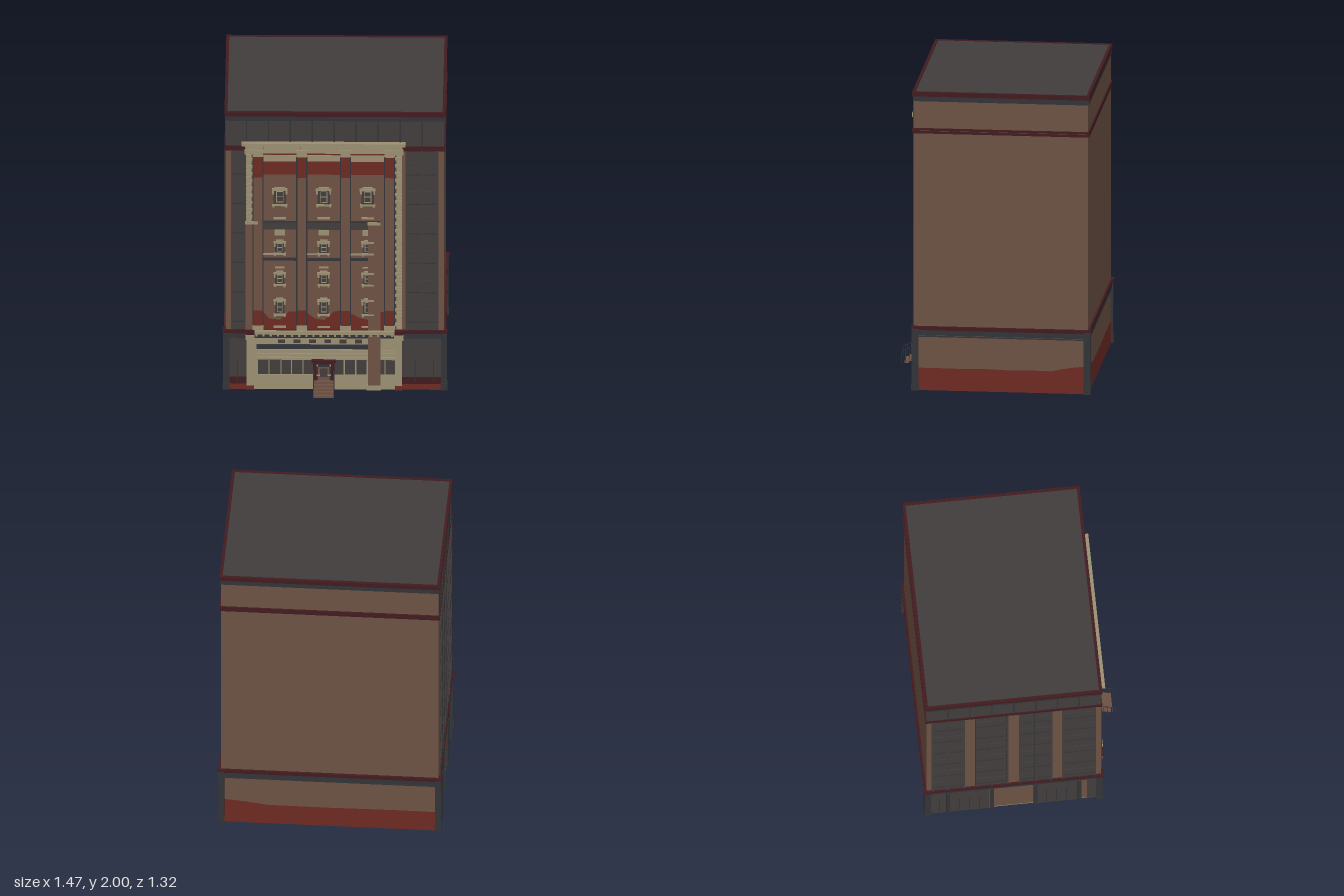
import * as THREE from 'three';

const mat = (name, color) => {
  const m = new THREE.MeshStandardMaterial({ color });
  m.name = name;
  return m;
};

export function createModel() {
  const brick = mat('brown brick', 0x6d5143);
  const red = mat('red brick', 0x6c2a22);
  const cream = mat('cream stone', 0x9a9072);
  const charcoal = mat('charcoal panel', 0x423d3d);
  const slate = mat('slate trim', 0x323437);
  const maroon = mat('maroon trim', 0x421b20);
  const root = new THREE.Group();
  root.name = 'building';

  const group = (name, parent = root) => {
    const g = new THREE.Group();
    g.name = name;
    parent.add(g);
    return g;
  };
  // box from its limits on each axis
  const box = (parent, name, m, x0, x1, y0, y1, z0, z1) => {
    const mesh = new THREE.Mesh(new THREE.BoxGeometry(x1 - x0, y1 - y0, z1 - z0), m);
    mesh.position.set((x0 + x1) / 2, (y0 + y1) / 2, (z0 + z1) / 2);
    mesh.name = name;
    parent.add(mesh);
    return mesh;
  };
  // flat painted area: straight bottom at y0, ragged top through points
  const wash = (parent, name, m, y0, top, z) => {
    const s = new THREE.Shape();
    s.moveTo(top[0][0], y0);
    s.lineTo(top[top.length - 1][0], y0);
    [...top].reverse().forEach(([x, y]) => s.lineTo(x, y));
    const mesh = new THREE.Mesh(new THREE.ShapeGeometry(s), m);
    mesh.position.z = z;
    mesh.name = name;
    parent.add(mesh);
  };

  // main body, roof and bands running round it
  const shell = group('shell');
  box(shell, 'walls', brick, -0.71, 0.71, 0.01, 1.99, -0.64, 0.5);
  box(shell, 'underside', cream, -0.71, 0.71, 0, 0.01, -0.64, 0.5);
  box(shell, 'roof', charcoal, -0.705, 0.705, 1.98, 1.996, -0.635, 0.495);
  const band = (name, m, y0, y1, out) => {
    const X = 0.71 + out, Z0 = -0.64 - out, Z1 = 0.5 + out;
    box(shell, name, m, -X, X, y0, y1, 0.49, Z1);
    box(shell, name, m, -X, X, y0, y1, Z0, -0.63);
    box(shell, name, m, -X, -0.7, y0, y1, -0.63, 0.49);
    box(shell, name, m, 0.7, X, y0, y1, -0.63, 0.49);
  };
  band('roofEdge', maroon, 1.97, 2, 0.01);
  band('roofMoulding', slate, 1.937, 1.97, 0.006);
  band('beltUpper', maroon, 1.742, 1.757, 0.01);
  band('beltLower', maroon, 1.722, 1.738, 0.008);
  band('baseCap', maroon, 0.405, 0.43, 0.014);
  band('baseMoulding', slate, 0.37, 0.405, 0.009);
  band('baseLine', slate, 0.358, 0.366, 0.006);
  for (const sx of [-1, 1]) for (const z of [-0.635, 0.49]) {
    const x = sx * 0.708;
    box(shell, 'cornerPost', slate, x - 0.02, x + 0.02, 0, 0.415, z - 0.022, z + 0.022);
    box(shell, 'cornerPostFoot', slate, x - 0.023, x + 0.023, 0, 0.05, z - 0.025, z + 0.025);
    box(shell, 'cornerPostCap', maroon, x - 0.025, x + 0.025, 0.415, 0.43, z - 0.026, z + 0.026);
  }

  // red lower walls on the plain right and back sides
  const right = group('rightBase');
  right.rotation.y = Math.PI / 2;
  wash(right, 'redBase', red, 0, [[-0.5, 0.15], [-0.35, 0.15], [-0.2, 0.148], [-0.05, 0.152],
    [0.1, 0.147], [0.25, 0.15], [0.4, 0.148], [0.48, 0.165], [0.56, 0.178], [0.64, 0.185]], 0.712);
  const back = group('backBase');
  back.rotation.y = Math.PI;
  wash(back, 'redBase', red, 0, [[-0.71, 0.185], [-0.55, 0.17], [-0.4, 0.15], [0, 0.148], [0.4, 0.152], [0.71, 0.15]], 0.642);

  // tall dark bay with rows of paired windows
  const bay = (parent, u0, u1, d, mull) => {
    const g = group('windowBay', parent);
    box(g, 'bayPanel', charcoal, u0, u1, 0.43, 1.725, d, d + 0.003);
    for (let r = 0; r < 6; r++) {
      const y = 0.445 + r * 0.213;
      box(g, 'spandrel', charcoal, u0, u1, y, y + 0.04, d, d + 0.008);
      box(g, 'sill', slate, u0, u1, y + 0.04, y + 0.047, d, d + 0.009);
      box(g, 'transom', charcoal, u0, u1, y + 0.125, y + 0.132, d, d + 0.006);
    }
    for (const u of [u0 + 0.004, u1 - 0.004, ...mull])
      box(g, 'mullion', charcoal, u - 0.006, u + 0.006, 0.43, 1.725, d, d + 0.01);
  };
  // dark panelled attic
  const attic = (parent, u0, u1, d, centre, n) => {
    box(parent, 'atticPanel', charcoal, u0, u1, 1.757, 1.937, d, d + 0.004);
    for (let i = -n; i <= n; i++) {
      const u = centre + i * 0.143;
      if (u > u0 && u < u1) box(parent, 'atticJoint', slate, u - 0.004, u + 0.004, 1.757, 1.937, d, d + 0.008);
    }
  };

  // left side (u runs along z)
  const left = group('leftSide');
  left.rotation.y = -Math.PI / 2;
  attic(left, -0.64, 0.5, 0.71, -0.07, 4);
  for (const c of [-0.5, -0.213, 0.073, 0.36]) {
    bay(left, c - 0.107, c + 0.107, 0.71, [c]);
    box(left, 'basePost', slate, c - 0.012, c + 0.012, 0, 0.37, 0.71, 0.725);
  }
  for (const [a, b] of [[-0.62, -0.23], [0.08, 0.35], [0.41, 0.48]]) {
    box(left, 'basePanel', charcoal, a, b, 0, 0.36, 0.71, 0.715);
    for (let u = a + 0.065; u < b - 0.03; u += 0.065)
      box(left, 'basePanelJoint', slate, u - 0.003, u + 0.003, 0.03, 0.24, 0.71, 0.718);
  }

  // front side: attic, flanking bays and lower panels
  const front = group('frontSide');
  attic(front, -0.71, 0.71, 0.5, -0.005, 4);
  bay(front, 0.46, 0.67, 0.5, [0.565]);
  bay(front, -0.675, -0.58, 0.5, []);
  for (const [a, b] of [[-0.69, -0.575], [0.435, 0.69]]) {
    box(front, 'lowerPanel', charcoal, a, b, 0.09, 0.365, 0.5, 0.506);
    box(front, 'lowerPlinth', maroon, a, b, 0.04, 0.09, 0.5, 0.507);
    box(front, 'redFoot', red, a, b, 0, 0.04, 0.5, 0.508);
  }
  for (const x of [-0.635, 0.52, 0.64])
    box(front, 'lowerPanelJoint', slate, x - 0.004, x + 0.004, 0.06, 0.21, 0.5, 0.511);

  // central stone facade
  const facade = group('facade');
  box(facade, 'facadeWall', brick, -0.58, 0.435, 0.43, 1.7, 0.49, 0.504);
  box(facade, 'redFrieze', red, -0.53, 0.39, 1.55, 1.645, 0.5, 0.506);
  box(facade, 'creamFrieze', cream, -0.53, 0.39, 1.645, 1.69, 0.5, 0.507);
  box(facade, 'redLine', red, -0.53, 0.39, 1.695, 1.705, 0.5, 0.511);
  box(facade, 'entablature', cream, -0.58, 0.435, 1.705, 1.75, 0.49, 0.513);
  box(facade, 'corniceBed', cream, -0.585, 0.44, 1.745, 1.767, 0.49, 0.522);
  box(facade, 'cornice', cream, -0.61, 0.46, 1.767, 1.788, 0.49, 0.54);
  for (let i = 0; i < 22; i++) {
    const x = -0.575 + i * 0.0475;
    box(facade, 'bracket', cream, x, x + 0.016, 1.738, 1.767, 0.5, 0.532);
  }
  wash(facade, 'redStain', red, 0.43, [[-0.53, 0.57], [-0.47, 0.56], [-0.43, 0.51], [-0.36, 0.5], [-0.3, 0.56],
    [-0.25, 0.56], [-0.18, 0.55], [-0.13, 0.51], [-0.07, 0.5], [-0.01, 0.56], [0.04, 0.57], [0.1, 0.55],
    [0.15, 0.52], [0.22, 0.5], [0.3, 0.56], [0.39, 0.56]], 0.506);

  // pilasters
  for (const x of [-0.502, -0.217, 0.068, 0.355]) {
    const w = 0.029;
    box(facade, 'pilaster', brick, x - w, x + w, 0.57, 1.53, 0.5, 0.513);
    box(facade, 'pilasterRedTop', red, x - w, x + w, 1.53, 1.68, 0.5, 0.513);
    box(facade, 'pilasterRedFoot', red, x - w, x + w, 0.46, 0.57, 0.5, 0.513);
    box(facade, 'pilasterFoot', cream, x - w - 0.006, x + w + 0.006, 0.425, 0.462, 0.5, 0.518);
    box(facade, 'capital', cream, x - w - 0.004, x + w + 0.004, 1.68, 1.72, 0.5, 0.517);
    box(facade, 'capitalTop', cream, x - w - 0.012, x + w + 0.012, 1.71, 1.73, 0.5, 0.522);
    for (const s of [-1, 1])
      box(facade, 'pilasterShadowGap', slate, x + s * (w + 0.004) - 0.004, x + s * (w + 0.004) + 0.004, 0.46, 1.68, 0.5, 0.509);
  }

  // toothed quoins at both facade edges
  const quoins = (x, y0, y1, side) => {
    box(facade, 'quoinStrip', cream, x - 0.016, x + 0.016, y0, y1, 0.49, 0.513);
    for (let y = y0, i = 0; y < y1 - 0.015; y += 0.026, i++) {
      const o = i % 2 ? 0.024 : 0.016;
      box(facade, 'quoin', cream, x - (side < 0 ? 0.02 : o), x + (side < 0 ? o : 0.022), y, y + 0.018, 0.49, 0.518);
    }
    box(facade, 'quoinCapital', cream, x - 0.03, x + 0.03, 1.7, 1.735, 0.49, 0.522);
  };
  quoins(-0.56, 1.21, 1.71, -1);
  quoins(0.415, 0.44, 1.71, 1);
  box(facade, 'plainStrip', brick, -0.582, -0.54, 0.43, 1.195, 0.49, 0.514);
  box(facade, 'stripCap', cream, -0.585, -0.5, 1.193, 1.213, 0.49, 0.52);
  box(facade, 'plainPier', brick, 0.215, 0.295, 0.43, 1.195, 0.5, 0.514);
  box(facade, 'pierCap', cream, 0.21, 0.297, 1.19, 1.212, 0.5, 0.52);

  // windows and floor bands in the three bays
  const windowUnit = (x, y0, y1, w) => {
    const g = group('facadeWindow', facade);
    const h = y1 - y0, c = 0.005;
    box(g, 'glass', charcoal, x - w, x + w, y0, y1, 0.5, 0.507);
    box(g, 'lintel', cream, x - w - 0.012, x + w + 0.012, y1, y1 + 0.015, 0.5, 0.515);
    box(g, 'lintelTop', cream, x - w + 0.006, x + w - 0.006, y1 + 0.015, y1 + 0.025, 0.5, 0.513);
    box(g, 'sill', cream, x - w - 0.01, x + w + 0.01, y0 - 0.012, y0, 0.5, 0.515);
    for (const s of [-1, 1]) {
      box(g, 'sash', cream, x + s * w * 0.55 - c / 2, x + s * w * 0.55 + c / 2, y0 + h * 0.12, y1 - h * 0.08, 0.5, 0.509);
      box(g, 'earBlock', cream, x + s * (w + 0.003) - 0.006, x + s * (w + 0.003) + 0.006, y1 - 0.025, y1, 0.5, 0.513);
      box(g, 'footBlock', cream, x + s * w - 0.006, x + s * w + 0.006, y0 - 0.022, y0 - 0.01, 0.5, 0.512);
    }
    for (const t of [0.12, 0.52, 0.9])
      box(g, 'sashRail', cream, x - w * 0.55, x + w * 0.55, y0 + h * t, y0 + h * t + c, 0.5, 0.509);
  };
  for (const [x, a, b] of [[-0.36, -0.468, -0.25], [-0.074, -0.183, 0.035], [0.212, 0.102, 0.296]]) {
    windowUnit(x, 1.337, 1.435, 0.04);
    windowUnit(x, 0.985, 1.055, 0.03);
    windowUnit(x, 0.76, 0.83, 0.03);
    windowUnit(x, 0.545, 0.635, 0.03);
    box(facade, 'floorPanel', charcoal, a, b, 1.155, 1.21, 0.5, 0.512);
    box(facade, 'floorPanelEdge', slate, a, b, 1.207, 1.215, 0.5, 0.514);
    box(facade, 'panelCrest', cream, x - 0.04, x + 0.04, 1.23, 1.243, 0.5, 0.514);
    box(facade, 'panelApron', cream, x - 0.035, x + 0.035, 1.112, 1.15, 0.5, 0.511);
    box(facade, 'floorLine', slate, a, b, 0.93, 0.948, 0.5, 0.512);
    box(facade, 'floorStone', cream, a, a + 0.075, 0.97, 0.98, 0.5, 0.51);
    box(facade, 'crest', cream, x - 0.032, x + 0.032, 0.875, 0.885, 0.5, 0.512);
    box(facade, 'footStone', cream, x - 0.04, x + 0.04, 0.445, 0.458, 0.5, 0.512);
  }

  // street level shopfront
  const shop = group('shopfront');
  box(shop, 'shopWall', cream, -0.575, 0.435, 0, 0.41, 0.49, 0.508);
  box(shop, 'shopCornice', cream, -0.58, 0.44, 0.405, 0.428, 0.49, 0.534);
  for (let i = 0; i < 22; i++) {
    const x = -0.565 + i * 0.0465;
    box(shop, 'shopBracket', cream, x, x + 0.014, 0.388, 0.406, 0.5, 0.528);
  }
  for (const x of [-0.553, 0.415]) {
    box(shop, 'shopPier', cream, x - 0.022, x + 0.022, 0.03, 0.39, 0.49, 0.518);
    box(shop, 'pierTop', cream, x - 0.03, x + 0.03, 0.36, 0.395, 0.49, 0.524);
    box(shop, 'pierFoot', red, x - 0.025, x + 0.025, 0, 0.03, 0.49, 0.52);
    box(shop, 'cornerRed', maroon, x - 0.028, x + 0.028, 0.405, 0.432, 0.49, 0.537);
  }
  box(shop, 'signBand', slate, -0.51, 0.215, 0.297, 0.325, 0.5, 0.522);
  for (const y of [0.222, 0.248, 0.275]) box(shop, 'shopMoulding', cream, -0.51, 0.393, y, y + 0.012, 0.5, 0.517);
  for (let i = 0; i < 6; i++) box(shop, 'friezePanel', charcoal, -0.37 + i * 0.1, -0.325 + i * 0.1, 0.335, 0.36, 0.5, 0.512);
  box(shop, 'shopGlass', charcoal, -0.505, 0.39, 0.11, 0.212, 0.5, 0.511);
  for (const x of [-0.505, -0.43, -0.352, -0.283, -0.208, 0.06, 0.135, 0.21, 0.325])
    box(shop, 'shopMullion', cream, x - 0.004, x + 0.004, 0.11, 0.212, 0.5, 0.515);
  box(shop, 'shopSill', cream, -0.51, 0.393, 0.1, 0.11, 0.5, 0.517);
  box(shop, 'lowerPier', brick, 0.213, 0.295, 0.035, 0.39, 0.5, 0.518);
  box(shop, 'lowerPierFoot', cream, 0.205, 0.3, 0, 0.035, 0.5, 0.521);

  // doorway
  const door = group('doorway');
  box(door, 'doorOpening', slate, -0.135, -0.012, 0.06, 0.2, 0.5, 0.513);
  box(door, 'doorLeaf', brick, -0.11, -0.037, 0.06, 0.165, 0.5, 0.516);
  box(door, 'doorGlass', charcoal, -0.098, -0.049, 0.095, 0.155, 0.5, 0.518);
  box(door, 'doorHood', maroon, -0.153, 0.006, 0.203, 0.217, 0.5, 0.536);
  box(door, 'doorHeader', maroon, -0.14, -0.007, 0.188, 0.203, 0.5, 0.526);
  for (const x of [-0.132, -0.015]) {
    box(door, 'doorPost', maroon, x - 0.01, x + 0.01, 0, 0.2, 0.5, 0.524);
    box(door, 'doorBracket', cream, x + (x < -0.07 ? 0.012 : -0.022), x + (x < -0.07 ? 0.022 : -0.012), 0.17, 0.187, 0.5, 0.52);
  }

  // steps and railings
  const stairs = group('stairs');
  for (let i = 0; i < 5; i++) {
    const z = 0.638 - i * 0.024, y = 0.014 * (i + 1);
    box(stairs, 'step', brick, -0.138, -0.009, y - 0.014, y, i === 4 ? 0.5 : z - 0.03, z);
  }
  for (const x of [-0.14, -0.007]) {
    const rail = new THREE.LineCurve3(new THREE.Vector3(x, 0.08, 0.655), new THREE.Vector3(x, 0.143, 0.53));
    const bar = new THREE.Mesh(new THREE.TubeGeometry(rail, 1, 0.003, 6), slate);
    bar.name = 'handrail';
    stairs.add(bar);
    for (let i = 0; i < 6; i++) {
      const p = rail.getPoint(i / 5);
      box(stairs, 'railPost', slate, x - 0.002, x + 0.002, i * 0.013, p.y, p.z - 0.002, p.z + 0.002);
    }
  }
  return root;
}
